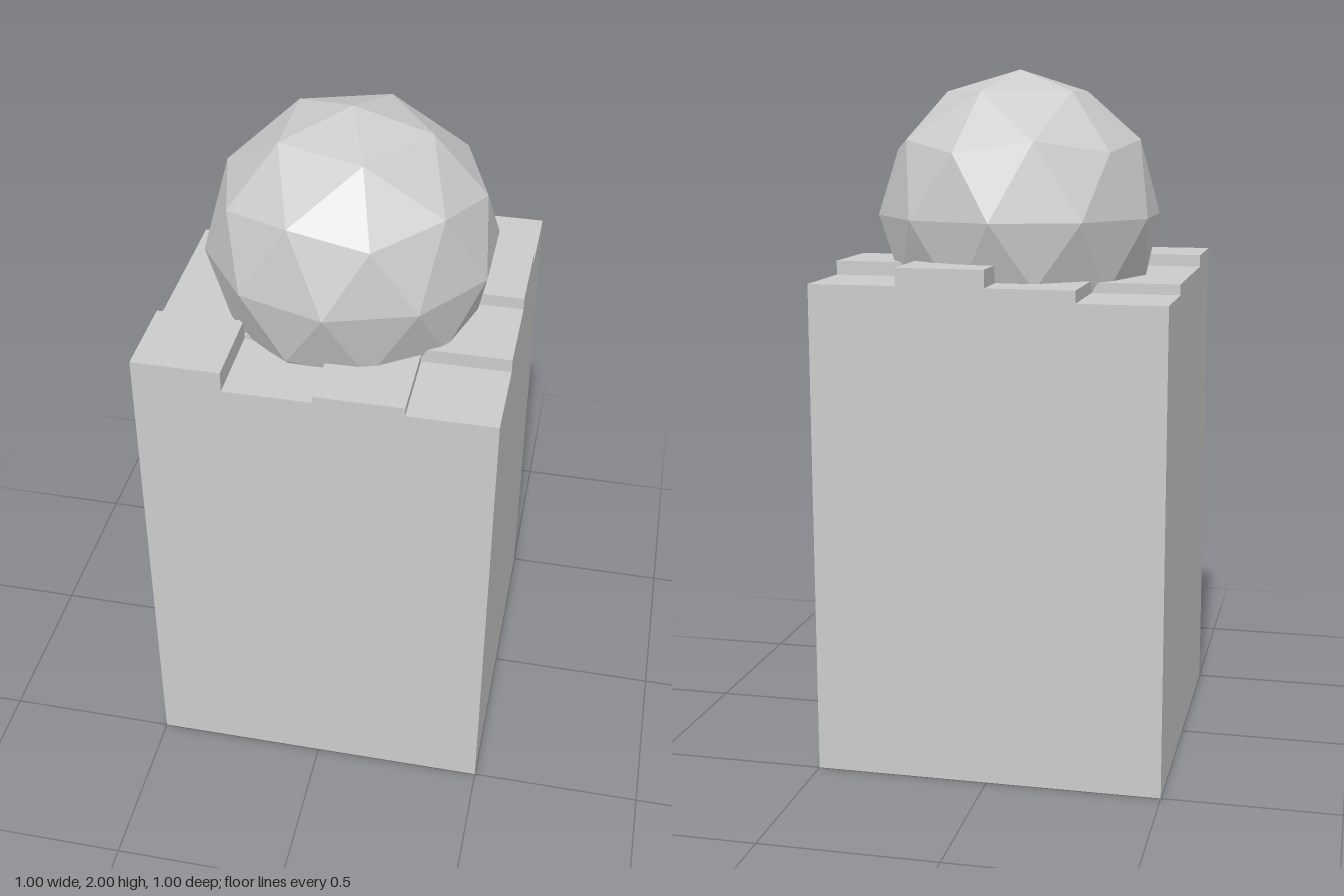
import * as THREE from 'three';

// Top heights of the 4 x 4 stone blocks: rows run back to front, columns from -x to +x
const HEIGHTS = [
  [1.38, 1.415, 1.465, 1.415],
  [1.41, 1.40, 1.40, 1.455],
  [1.41, 1.40, 1.40, 1.42],
  [1.445, 1.385, 1.405, 1.38],
];
const CELL = 0.25;

// Square pillar whose top is broken into uneven steps, as one closed surface
function pillarGeometry() {
  const positions = [];
  const quad = (a, b, c, d) => positions.push(...a, ...b, ...c, ...a, ...c, ...d);
  const heightAt = (row, col) => HEIGHTS[row]?.[col] ?? 0;

  HEIGHTS.forEach((line, row) => line.forEach((h, col) => {
    const x0 = -0.5 + col * CELL, x1 = x0 + CELL;
    const z0 = -0.5 + row * CELL, z1 = z0 + CELL;
    quad([x0, h, z0], [x0, h, z1], [x1, h, z1], [x1, h, z0]);

    // Walls drop to each lower neighbour, or to the ground on the outside
    const sides = [
      [1, 0, x0, z1, x1, z1],
      [0, 1, x1, z1, x1, z0],
      [-1, 0, x1, z0, x0, z0],
      [0, -1, x0, z0, x0, z1],
    ];
    for (const [dr, dc, ax, az, bx, bz] of sides) {
      const low = heightAt(row + dr, col + dc);
      if (low < h) quad([ax, low, az], [bx, low, bz], [bx, h, bz], [ax, h, az]);
    }
  }));

  // Underside
  quad([-0.5, 0, -0.5], [0.5, 0, -0.5], [0.5, 0, 0.5], [-0.5, 0, 0.5]);

  const geometry = new THREE.BufferGeometry();
  geometry.setAttribute('position', new THREE.Float32BufferAttribute(positions, 3));
  geometry.computeVertexNormals();
  return geometry;
}

// Faceted ball with one vertex pointing straight up
function ballGeometry(radius) {
  const golden = (1 + Math.sqrt(5)) / 2;
  return new THREE.IcosahedronGeometry(radius, 1).rotateZ(-Math.atan2(1, golden));
}

export function createModel() {
  const group = new THREE.Group();
  const material = new THREE.MeshStandardMaterial({ color: 0xcccccc, flatShading: true });

  const pillar = new THREE.Mesh(pillarGeometry(), material);
  pillar.name = 'pillar';

  // Ball sunk into the top of the pillar
  const ball = new THREE.Mesh(ballGeometry(0.418), material);
  ball.name = 'ball';
  ball.position.set(0.007, 1.582, -0.01);

  group.add(pillar, ball);
  return group;
}
